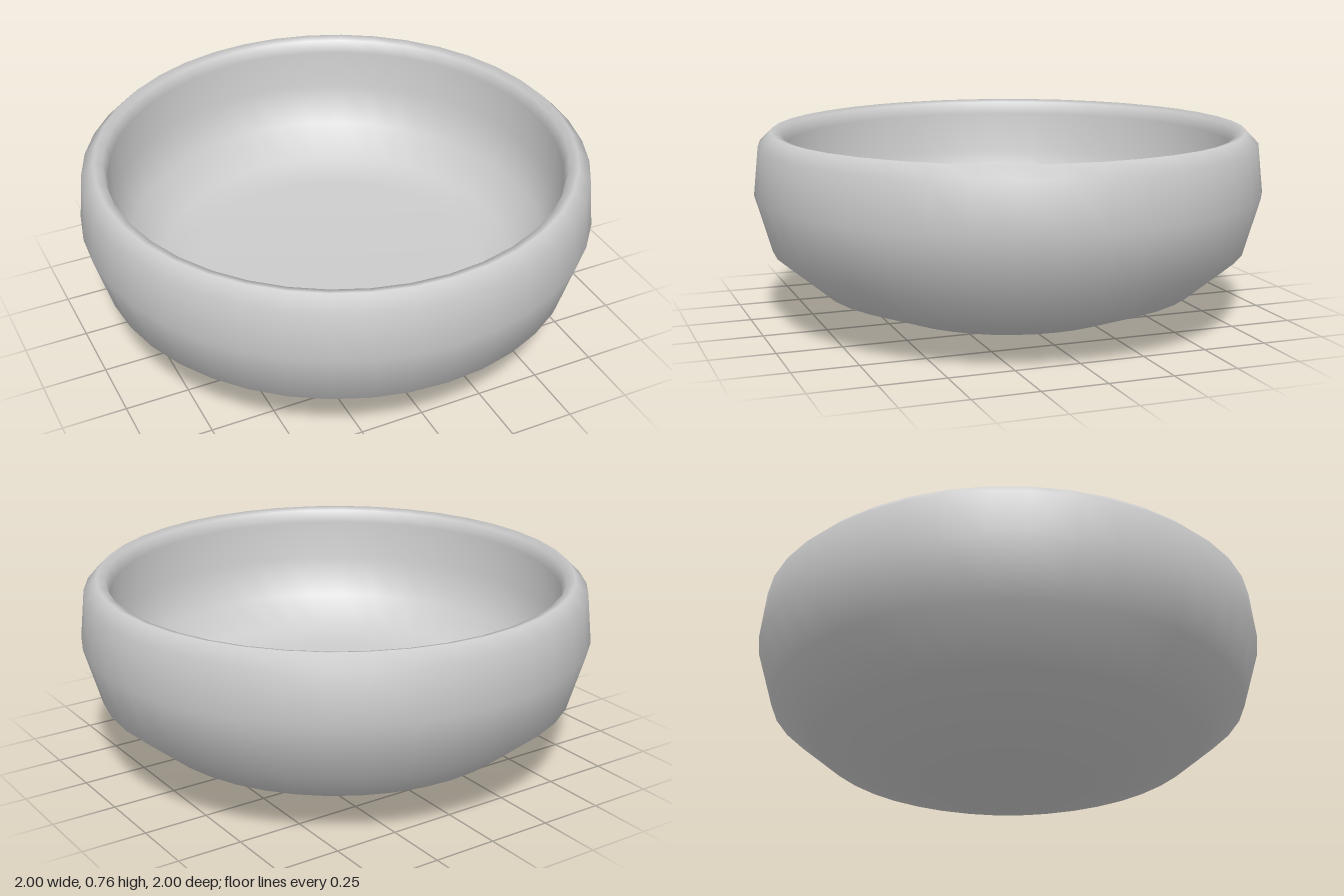
import * as THREE from 'three';

export function createModel() {
  const group = new THREE.Group();
  group.name = 'bowl';

  // Closed wall profile: underside, outer wall, rounded rim, inner wall, flat floor
  const profile = [
    [0, 0], [0.33, 0], [0.51, 0.05], [0.75, 0.14], [0.935, 0.295],
    [1, 0.52], [0.98, 0.71], [0.93, 0.76], [0.895, 0.75], [0.88, 0.7],
    [0.878, 0.535], [0.825, 0.375], [0.7, 0.27], [0.56, 0.23], [0, 0.23],
  ].map(([r, y]) => new THREE.Vector2(r, y));

  const shell = new THREE.Mesh(
    new THREE.LatheGeometry(profile, 40),
    new THREE.MeshStandardMaterial({ color: 0xcccccc }),
  );
  shell.name = 'bowlShell';
  group.add(shell);
  return group;
}
